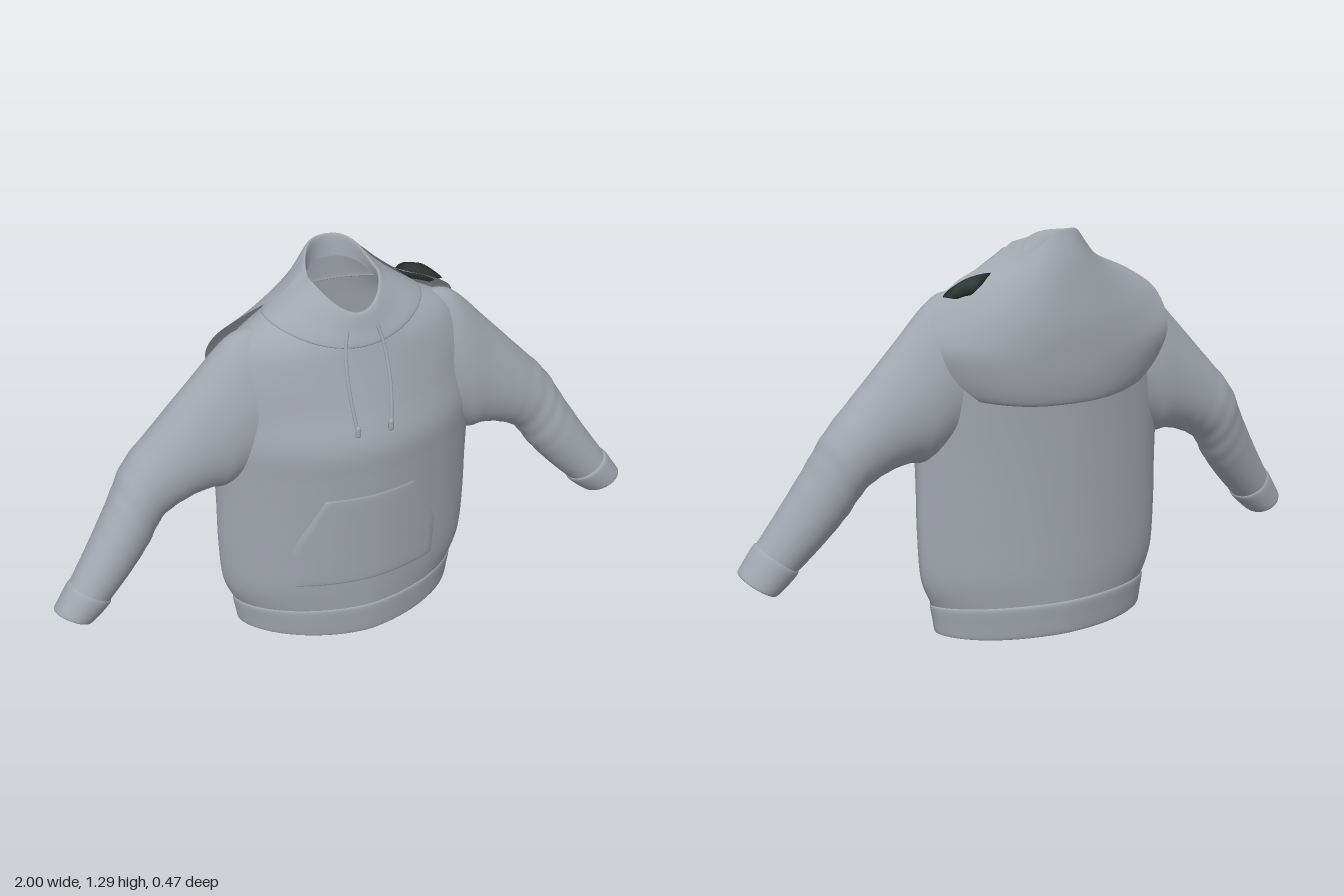
import * as THREE from 'three';

const cloth = new THREE.MeshStandardMaterial({ color: 0xa2a6af, side: THREE.DoubleSide });
cloth.name = 'grey cloth';
const dark = new THREE.MeshStandardMaterial({ color: 0x2f3836, side: THREE.DoubleSide });
dark.name = 'dark lining';

const V = (x, y, z) => new THREE.Vector3(x, y, z);

// Smoothly interpolates a table of parameter rows at t in 0..1
function sample(rows, t) {
  const n = rows.length - 1, f = t * n, i = Math.min(n - 1, Math.floor(f)), u = f - i;
  const r = k => rows[Math.max(0, Math.min(n, k))];
  return rows[0].map((_, k) => {
    const a = r(i - 1)[k], b = r(i)[k], c = r(i + 1)[k], d = r(i + 2)[k];
    return b + 0.5 * u * (c - a + u * (2 * a - 5 * b + 4 * c - d + u * (3 * (b - c) + d - a)));
  });
}
const resample = (rows, count) =>
  Array.from({ length: count + 1 }, (_, i) => sample(rows, i / count));

// Skins a list of equal-length point rows
function skin(name, rows, closed, material = cloth) {
  const w = rows[0].length, pos = [], idx = [];
  rows.forEach(row => row.forEach(p => pos.push(p.x, p.y, p.z)));
  for (let j = 0; j < rows.length - 1; j++) {
    for (let i = 0; i < (closed ? w : w - 1); i++) {
      const a = j * w + i, b = j * w + (i + 1) % w;
      idx.push(a, a + w, b, b, a + w, b + w);
    }
  }
  const g = new THREE.BufferGeometry();
  g.setAttribute('position', new THREE.Float32BufferAttribute(pos, 3));
  g.setIndex(idx);
  g.computeVertexNormals();
  const mesh = new THREE.Mesh(g, material);
  mesh.name = name;
  return mesh;
}

// Body ring: half width, front z, back z, y at front, sides and back, roundness
const ZC = -0.02, SIDES = 80;
function bodyRing([rx, zf, zb, yf, ys, yb, pow]) {
  return Array.from({ length: SIDES }, (_, i) => {
    const a = i / SIDES * Math.PI * 2, c = Math.cos(a), s = Math.sin(a), m = Math.abs(s);
    const x = rx * Math.sign(c) * Math.abs(c) ** (2 / pow);
    const z = ZC + (s > 0 ? zf - ZC : ZC - zb) * Math.sign(s) * m ** (2 / pow);
    return V(x, s > 0 ? ys + (yf - ys) * m * m : ys + (yb - ys) * m * m * (3 - 2 * m), z);
  });
}

const TORSO = [
  [0.386, 0.195, -0.195, 0.11, 0.11, 0.11, 1.72],
  [0.422, 0.202, -0.198, 0.2, 0.2, 0.2, 1.72],
  [0.433, 0.21, -0.197, 0.35, 0.35, 0.35, 1.72],
  [0.434, 0.219, -0.197, 0.5, 0.5, 0.5, 1.73],
  [0.437, 0.227, -0.198, 0.63, 0.63, 0.63, 1.75],
  [0.44, 0.23, -0.2, 0.74, 0.74, 0.74, 1.78],
  [0.435, 0.196, -0.205, 0.86, 0.85, 0.86, 1.8],
  [0.42, 0.168, -0.205, 0.96, 0.96, 0.95, 1.85],
  [0.36, 0.152, -0.195, 1.02, 1.07, 1.04, 1.9],
  [0.25, 0.142, -0.185, 1.06, 1.132, 1.12, 2],
];
const COLLAR = [
  [0.25, 0.138, -0.182, 1.054, 1.126, 1.12, 2],
  [0.253, 0.149, -0.187, 1.058, 1.137, 1.125, 2],
  [0.185, 0.136, -0.182, 1.1, 1.18, 1.2, 2],
  [0.135, 0.125, -0.176, 1.14, 1.21, 1.26, 2],
  [0.112, 0.116, -0.166, 1.155, 1.226, 1.288, 2],
  [0.105, 0.107, -0.155, 1.15, 1.22, 1.284, 2],
  [0.108, 0.108, -0.145, 1.125, 1.19, 1.22, 2],
];
const HEM = [
  [0.368, 0.183, -0.183, 0.012, 0.03, 0.015, 1.72],
  [0.376, 0.19, -0.193, 0.005, 0.022, 0.008, 1.72],
  [0.384, 0.196, -0.198, 0.06, 0.065, 0.06, 1.72],
  [0.391, 0.199, -0.201, 0.105, 0.108, 0.105, 1.72],
  [0.384, 0.194, -0.194, 0.115, 0.118, 0.115, 1.72],
];

// Front surface of the lower body at a given x and y
function frontZ(x, y) {
  let i = 0;
  while (i < 4 && TORSO[i + 1][3] < y) i++;
  const t = (y - TORSO[i][3]) / (TORSO[i + 1][3] - TORSO[i][3]);
  const mix = k => THREE.MathUtils.lerp(TORSO[i][k], TORSO[i + 1][k], t);
  return ZC + (mix(1) - ZC) * (1 - Math.abs(x / mix(0)) ** mix(6)) ** (1 / mix(6));
}

// Sleeve ring: top x, y, bottom x, y, centre z, half depth, narrowing at the top, forward tilt
function sleeveRing([tx, ty, bx, by, zc, hz, egg, tilt], side, fold = 0) {
  return Array.from({ length: 40 }, (_, i) => {
    const a = i / 40 * Math.PI * 2, c = Math.cos(a) / 2 * (1 + fold);
    const z = -Math.sin(a) * side * (1 + fold) * hz * (1 - egg * Math.cos(a));
    return V(side * ((tx + bx) / 2 + c * (tx - bx)), (ty + by) / 2 + c * (ty - by) + z * tilt, zc + z);
  });
}
const SLEEVE = [
  [0.29, 1.11, 0.36, 0.62, -0.012, 0.118, 0.25, 0],
  [0.375, 1.088, 0.425, 0.585, -0.014, 0.12, 0.25, 0],
  [0.5, 0.96, 0.47, 0.588, -0.016, 0.114, 0.18, 0],
  [0.62, 0.832, 0.54, 0.572, -0.016, 0.106, 0.08, 0],
  [0.725, 0.718, 0.62, 0.528, -0.015, 0.098, 0, 0],
  [0.79, 0.61, 0.68, 0.445, 0.003, 0.092, 0, 0.04],
  [0.865, 0.49, 0.75, 0.365, 0.022, 0.083, 0, 0.1],
  [0.945, 0.37, 0.828, 0.288, 0.04, 0.072, 0, 0.16],
];
const CUFF = [
  [0.937, 0.378, 0.822, 0.295, 0.039, 0.07, 0, 0.16],
  [0.95, 0.372, 0.824, 0.284, 0.041, 0.077, 0, 0.17],
  [0.978, 0.33, 0.855, 0.255, 0.044, 0.075, 0, 0.19],
  [1.0, 0.295, 0.888, 0.23, 0.046, 0.071, 0, 0.22],
  [0.992, 0.292, 0.893, 0.235, 0.046, 0.064, 0, 0.22],
];

// Hood row, bottom to top: half width, centre y, centre z, edge y, edge z
const HOOD = [
  [0.27, 0.76, -0.19, 0.785, -0.125],
  [0.29, 0.758, -0.21, 0.785, -0.15],
  [0.37, 0.82, -0.225, 0.86, -0.14],
  [0.412, 0.91, -0.231, 0.96, -0.132],
  [0.4, 1.0, -0.231, 1.065, -0.075],
  [0.31, 1.1, -0.218, 1.135, -0.045],
  [0.2, 1.2, -0.198, 1.185, -0.035],
  [0.115, 1.288, -0.168, 1.247, -0.05],
];
const hoodRow = ([hw, yc, zc, ye, ze]) => Array.from({ length: 41 }, (_, i) => {
  const u = Math.sin((i / 20 - 1) * Math.PI / 2), k = Math.abs(u) ** 2.4;
  return V(hw * u, yc + (ye - yc) * k, zc + (ze - zc) * k);
});

export function createModel() {
  const model = new THREE.Group();
  model.name = 'hoodedTop';

  model.add(
    skin('torso', resample(TORSO, 54).map(bodyRing), true),
    skin('collar', resample(COLLAR, 36).map(bodyRing), true),
    skin('hemBand', resample(HEM, 16).map(bodyRing), true),
    skin('hood', resample(HOOD, 42).map(hoodRow), false),
  );

  // Sleeves with soft elbow folds, and cuffs
  for (const [side, label] of [[1, 'left'], [-1, 'right']]) {
    const rings = resample(SLEEVE, 60).map((r, i) => {
      const t = i / 60, fold = 0.012 * Math.sin(t * 75) * Math.exp(-(((t - 0.62) / 0.15) ** 2));
      return sleeveRing(r, side, fold);
    });
    model.add(
      skin(label + 'Sleeve', rings, true),
      skin(label + 'Cuff', resample(CUFF, 16).map(r => sleeveRing(r, side)), true),
    );

    // Drawstring with a thicker tip
    const x = side * 0.055;
    const path = new THREE.CatmullRomCurve3([
      V(side * 0.05, 1.11, 0.132), V(x * 1.15, 1.05, 0.149), V(x * 1.25, 0.95, 0.184),
      V(x * 1.15, 0.87, 0.208), V(x, 0.8, 0.226)]);
    const cord = new THREE.Mesh(new THREE.TubeGeometry(path, 32, 0.006, 8), cloth);
    cord.name = label + 'Drawstring';
    const tip = new THREE.Mesh(new THREE.CapsuleGeometry(0.009, 0.022, 4, 10), cloth);
    tip.name = label + 'DrawstringTip';
    tip.position.set(x, 0.808, 0.225);
    model.add(cord, tip);
  }

  // Front pouch pocket: y, half width, lift off the body
  const pouch = [[0.228, 0.25, -0.002], [0.232, 0.25, 0.004], [0.3, 0.252, 0.005], [0.38, 0.25, 0.005],
    [0.47, 0.205, 0.005], [0.555, 0.16, 0.004], [0.56, 0.158, -0.002]];
  model.add(skin('pouchPocket', resample(pouch, 24).map(([y, hw, lift]) =>
    Array.from({ length: 33 }, (_, i) => {
      const x = hw * (1 - i / 16);
      return V(x, y, frontZ(x, y) + (i % 32 ? lift : -0.002));
    })), false));

  // Loose end of the hem at the left hip
  const tab = [[0.025, 0.372], [0.07, 0.365], [0.125, 0.39]];
  model.add(skin('hemTab', tab.map(([y, x]) =>
    [V(x, y, -0.035), V(x + 0.004, y, -0.01), V(x - 0.03, y + 0.005, 0.02), V(x - 0.07, y, 0.03)]), false));

  // Dark flap turned up on the left shoulder
  const rim = [V(0.21, 1.163, -0.08), V(0.25, 1.153, -0.13), V(0.295, 1.133, -0.16), V(0.335, 1.125, -0.145),
    V(0.372, 1.1, -0.085), V(0.355, 1.11, -0.065), V(0.28, 1.145, -0.055)];
  const loop = new THREE.CatmullRomCurve3(rim, true, 'centripetal').getPoints(36).slice(0, 36);
  const middle = V(0.295, 1.143, -0.1);
  const low = V(0.3, 1.085, -0.09);
  model.add(skin('shoulderFlap', [
    loop.map(p => p.clone().lerp(low, 0.55)),
    loop,
    loop.map(p => p.clone().lerp(middle, 0.5).add(V(0, 0.004, 0))),
    loop.map(() => middle.clone().add(V(0, 0.005, 0)))], true, dark));

  return model;
}
